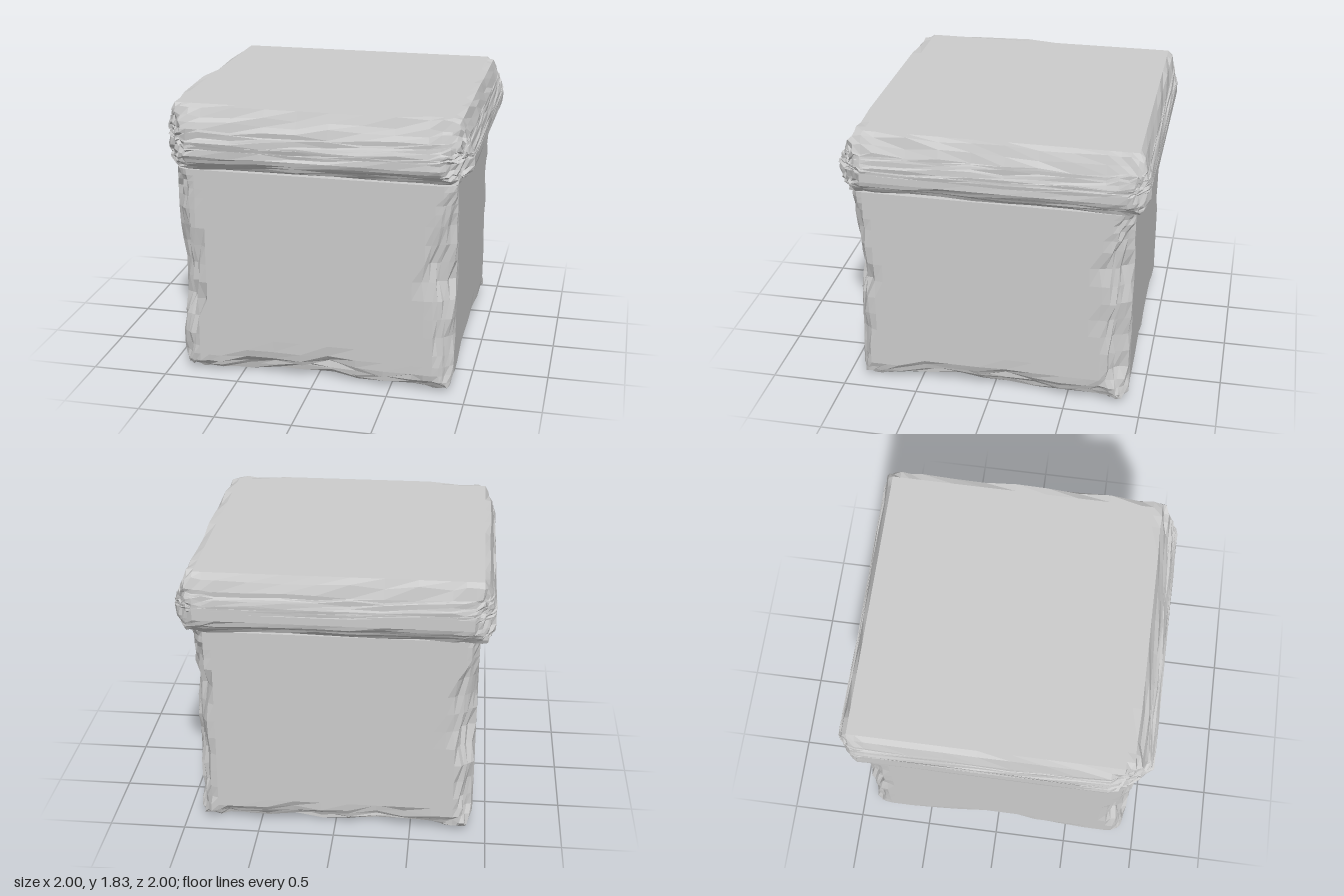
import * as THREE from 'three';
import { mergeVertices } from 'three/addons/utils/BufferGeometryUtils.js';

const X = 0, Y = 1, Z = 2;

// Repeatable noise in -1..1
const noise = (p, q, r) => {
  const s = Math.sin(p * 127.1 + q * 311.7 + r * 74.7) * 43758.5453;
  return (s - Math.floor(s)) * 2 - 1;
};

// Grid lines along one axis, packed close to the edges
const INSETS = [0, 0.04, 0.08, 0.13, 0.19, 0.27];
function gridLines(half) {
  const k = Math.min(1, (half * 0.8) / 0.27);
  const side = INSETS.map((d) => half - d * k);
  const inner = side[5];
  const middle = [];
  for (let i = 1; i < 7; i++) middle.push(-inner + (2 * inner * i) / 7);
  return [...side.map((v) => -v), ...middle, ...side.slice().reverse()];
}

// A block whose edges are cut by chamfers that vary along their length.
// edge = [axisU, signU, axisW, signW, cutU, cutW, extraU, extraW];
// the extra depth is reached around the middle of the edge.
function chippedBlock(half, edges, rough) {
  const lines = half.map(gridLines);
  const n = lines[0].length - 1;
  let geo = new THREE.BoxGeometry(1, 1, 1, n, n, n);
  geo.deleteAttribute('normal');
  geo.deleteAttribute('uv');
  geo = mergeVertices(geo, 1e-3);
  const pos = geo.attributes.position;
  for (let i = 0; i < pos.count; i++) {
    const p = [pos.getX(i), pos.getY(i), pos.getZ(i)]
      .map((v, axis) => lines[axis][Math.round((v + 0.5) * n)]);
    const start = p.slice();
    for (let pass = 0; pass < 4; pass++) {
      edges.forEach(([au, su, aw, sw, cu, cw, eu, ew], id) => {
        const at = 3 - au - aw;
        const t = start[at] / half[at];
        const wave = 0.8 + 0.25 * Math.sin(t * 5 + id * 2.1) + 0.2 * Math.sin(t * 11 + id * 4.7);
        const bump = Math.max(0, 1 - t * t) * wave;
        const jitter = 1 + rough * noise(start[0] + id, start[1], start[2]);
        const a = (cu + eu * bump) * jitter;
        const b = (cw + ew * bump) * jitter;
        const u = half[au] - su * p[au];
        const w = half[aw] - sw * p[aw];
        const f = 1 - u / a - w / b;
        if (f > 0) {
          p[au] -= (su * f * a) / 2;
          p[aw] -= (sw * f * b) / 2;
        }
      });
    }
    pos.setXYZ(i, ...p);
  }
  geo = geo.toNonIndexed();
  geo.computeVertexNormals();
  return geo;
}

export function createModel() {
  const group = new THREE.Group();
  const stone = new THREE.MeshStandardMaterial({ color: 0xcccccc, flatShading: true });
  const add = (name, geo, y) => {
    const mesh = new THREE.Mesh(geo, stone);
    mesh.name = name;
    mesh.position.y = y;
    group.add(mesh);
  };

  // Body: crisp at the top, worn on the uprights and around the foot
  const bodyEdges = [
    [X, 1, Z, 1, 0.05, 0.05, 0.14, 0.06],
    [X, -1, Z, 1, 0.08, 0.05, 0.1, 0.1],
    [X, 1, Z, -1, 0.05, 0.07, 0.07, 0.15],
    [X, -1, Z, -1, 0.06, 0.06, 0.1, 0.1],
    [Z, 1, Y, -1, 0.08, 0.08, 0.1, 0.11],
    [Z, -1, Y, -1, 0.08, 0.08, 0.1, 0.1],
    [X, 1, Y, -1, 0.08, 0.08, 0.1, 0.13],
    [X, -1, Y, -1, 0.09, 0.1, 0.08, 0.1],
  ];
  add('body', chippedBlock([0.91, 0.71, 0.91], bodyEdges, 0.22), 0.71);

  // Cap slab: long slope above, short undercut below, rounded corners
  const capEdges = [
    [Z, 1, Y, 1, 0.14, 0.26, -0.02, 0.04],
    [Z, -1, Y, 1, 0.06, 0.2, 0.01, 0.04],
    [X, 1, Y, 1, 0.1, 0.22, -0.02, 0.04],
    [X, -1, Y, 1, 0.07, 0.18, -0.03, 0.04],
    [Z, 1, Y, -1, 0.1, 0.1, 0.02, 0],
    [Z, -1, Y, -1, 0.08, 0.1, 0.02, 0],
    [X, 1, Y, -1, 0.1, 0.1, 0.01, 0],
    [X, -1, Y, -1, 0.05, 0.08, 0.02, 0.02],
    [X, 1, Z, 1, 0.17, 0.19, 0, 0],
    [X, -1, Z, 1, 0.2, 0.28, 0, 0],
    [X, 1, Z, -1, 0.11, 0.13, 0, 0],
    [X, -1, Z, -1, 0.13, 0.13, 0, 0],
  ];
  add('capSlab', chippedBlock([1, 0.205, 1], capEdges, 0.12), 1.625);

  return group;
}
